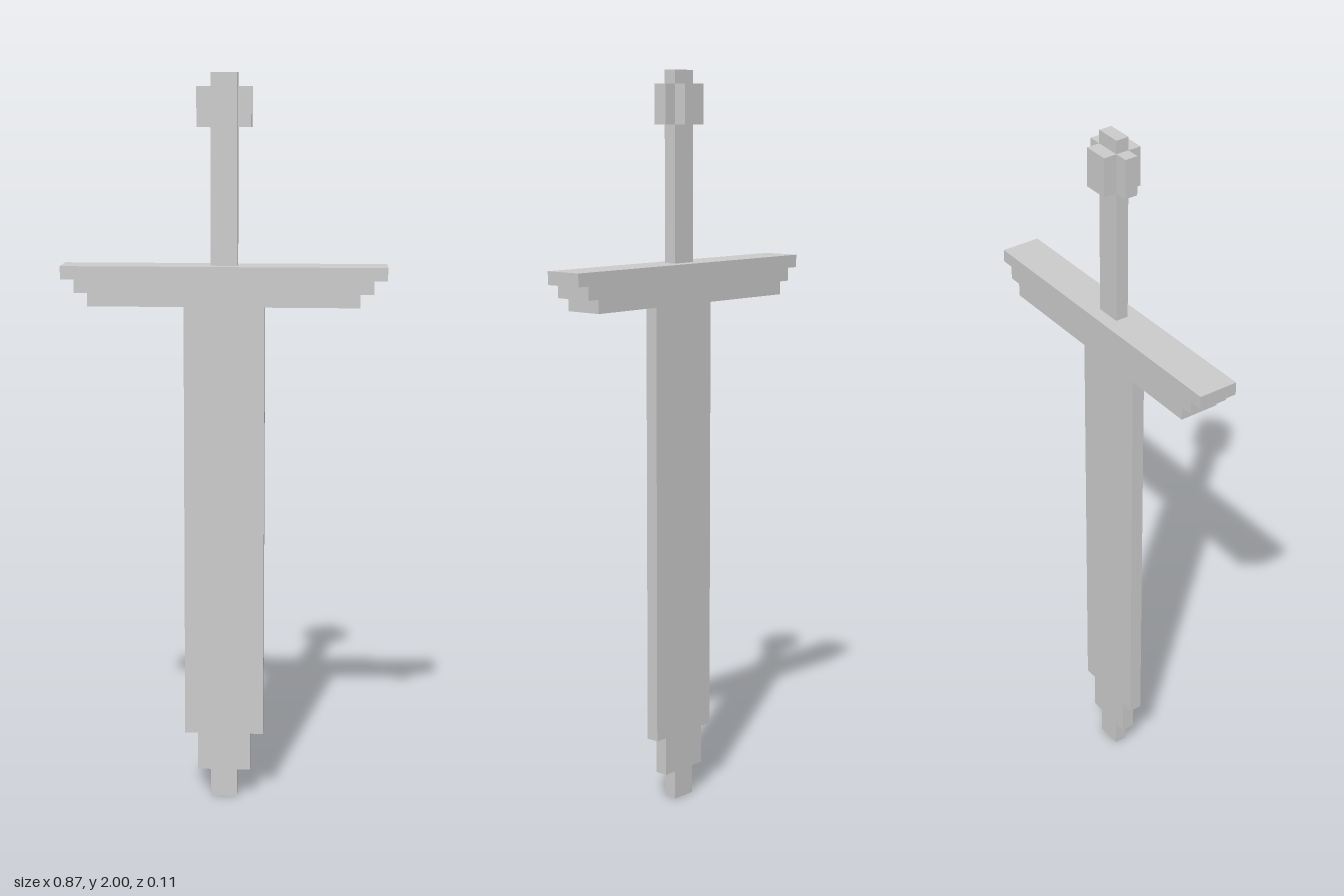
import * as THREE from 'three';

const material = new THREE.MeshStandardMaterial({ color: 0xcccccc, flatShading: true });

// Stepped outline mirrored in x; steps run bottom to top as [halfWidth, yBottom, yTop].
function steppedShape(steps) {
  const right = steps.flatMap(([w, y0, y1]) => [new THREE.Vector2(w, y0), new THREE.Vector2(w, y1)]);
  const left = right.map((p) => new THREE.Vector2(-p.x, p.y)).reverse();
  return new THREE.Shape([...right, ...left]);
}

// Flat slab of the given thickness, centred on z = 0.
function slab(name, steps, depth) {
  const geometry = new THREE.ExtrudeGeometry(steppedShape(steps), { depth, bevelEnabled: false });
  geometry.translate(0, 0, -depth / 2);
  const mesh = new THREE.Mesh(geometry, material);
  mesh.name = name;
  return mesh;
}

export function createModel() {
  const model = new THREE.Group();
  model.name = 'sword';

  // Blade narrowing in steps to the tip
  model.add(slab('blade', [
    [0.036, 0, 0.079],
    [0.073, 0.079, 0.185],
    [0.109, 0.185, 1.386],
  ], 0.036));

  // Crossguard widening in steps towards the grip
  model.add(slab('crossguard', [
    [0.364, 1.386, 1.422],
    [0.4, 1.422, 1.458],
    [0.436, 1.458, 1.493],
  ], 0.109));

  // Grip running through the pommel to the top
  model.add(slab('grip', [[0.036, 1.493, 2]], 0.036));

  // Pommel with a plus-shaped plan, extruded upwards
  const plan = steppedShape([
    [0.036, -0.0545, -0.018],
    [0.073, -0.018, 0.018],
    [0.036, 0.018, 0.0545],
  ]);
  const pommelGeometry = new THREE.ExtrudeGeometry(plan, { depth: 0.106, bevelEnabled: false });
  pommelGeometry.rotateX(-Math.PI / 2).translate(0, 1.858, 0);
  const pommel = new THREE.Mesh(pommelGeometry, material);
  pommel.name = 'pommel';
  model.add(pommel);

  return model;
}
